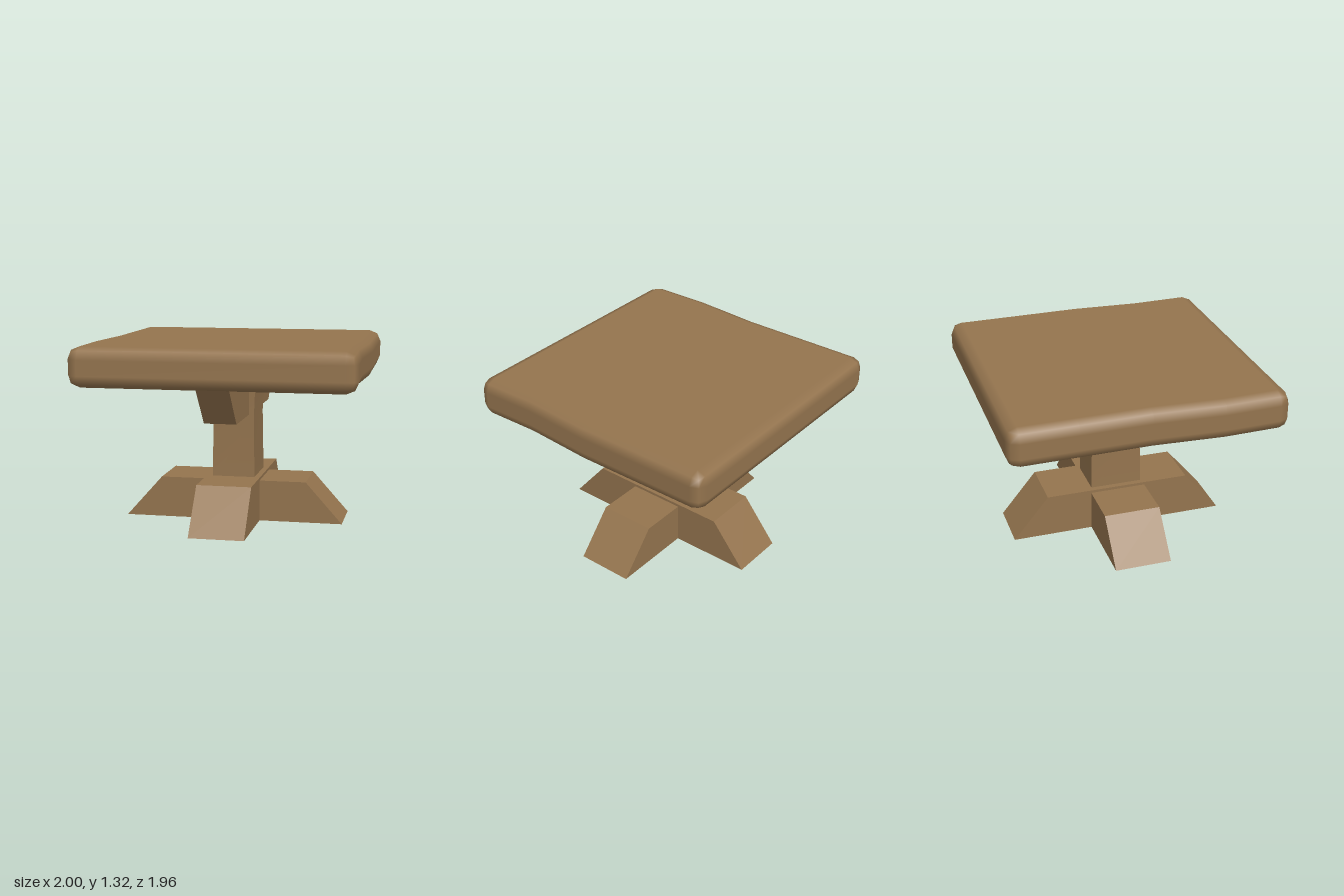
import * as THREE from 'three';

const wood = new THREE.MeshStandardMaterial({ color: 0x94744e });
wood.name = 'brown wood';

function add(group, name, geometry) {
  const mesh = new THREE.Mesh(geometry, wood);
  mesh.name = name;
  group.add(mesh);
  return mesh;
}

// Slab with rounded edges and gently wavy left and right sides
function slabGeometry() {
  const r = 0.085;
  const xs = [-0.985, -0.9, 0.9, 0.985];
  const ys = [1.035, 1.12, 1.23, 1.315];
  const zs = [-0.98, -0.895, -0.5, 0, 0.5, 0.895, 0.98];
  const sway = [0, 0, 0.006, 0.014, -0.014, 0, 0];
  const g = new THREE.BoxGeometry(2, 2, 2, 3, 3, 6);
  const p = g.attributes.position, n = g.attributes.normal;
  const v = new THREE.Vector3(), inner = new THREE.Vector3();
  const knot = (list, t) => Math.round((t + 1) / 2 * (list.length - 1));
  for (let i = 0; i < p.count; i++) {
    const k = knot(zs, p.getZ(i));
    v.set(xs[knot(xs, p.getX(i))], ys[knot(ys, p.getY(i))], zs[k]);
    inner.set(
      THREE.MathUtils.clamp(v.x, xs[1], xs[2]),
      THREE.MathUtils.clamp(v.y, ys[1], ys[2]),
      THREE.MathUtils.clamp(v.z, zs[1], zs[5]));
    v.sub(inner).normalize();
    n.setXYZ(i, v.x, v.y, v.z);
    v.multiplyScalar(r).add(inner);
    p.setXYZ(i, v.x + sway[k], v.y, v.z);
  }
  return g;
}

// Beam along x with a trapezoid side: [start, end] at the bottom and at the top
function beamGeometry(bottom, top, y0, y1, width) {
  const shape = new THREE.Shape([
    new THREE.Vector2(bottom[0], y0), new THREE.Vector2(bottom[1], y0),
    new THREE.Vector2(top[1], y1), new THREE.Vector2(top[0], y1)]);
  const g = new THREE.ExtrudeGeometry(shape, { depth: width, bevelEnabled: false });
  return g.translate(0, 0, -width / 2);
}

// Square post, slightly waisted
function postGeometry() {
  const rings = [ // y, x min, x max, z min, z max
    [0.28, -0.14, 0.172, -0.185, 0.197],
    [0.76, -0.132, 0.165, -0.175, 0.19],
    [1.05, -0.146, 0.18, -0.186, 0.206]];
  const g = new THREE.BoxGeometry(2, 2, 2, 1, 2, 1);
  const p = g.attributes.position;
  for (let i = 0; i < p.count; i++) {
    const [y, x0, x1, z0, z1] = rings[Math.round(p.getY(i) + 1)];
    p.setXYZ(i, p.getX(i) < 0 ? x0 : x1, y, p.getZ(i) < 0 ? z0 : z1);
  }
  g.computeVertexNormals();
  return g;
}

export function createModel() {
  const table = new THREE.Group();
  table.name = 'table';

  add(table, 'tableTop', slabGeometry());
  add(table, 'post', postGeometry());

  // Crossed feet
  add(table, 'sidewaysFoot', beamGeometry([-0.785, 0.815], [-0.52, 0.55], 0, 0.297, 0.413))
    .position.z = 0.008;
  const foot = add(table, 'lengthwiseFoot', beamGeometry([-0.81, 0.79], [-0.545, 0.53], 0, 0.317, 0.394));
  foot.rotation.y = Math.PI / 2;
  foot.position.x = 0.016;

  // Bracket under the top
  const bracket = add(table, 'topBracket', beamGeometry([-0.655, 0.635], [-0.9, 0.87], 0.776, 1.037, 0.228));
  bracket.rotation.y = Math.PI / 2;
  bracket.position.x = 0.016;

  return table;
}
